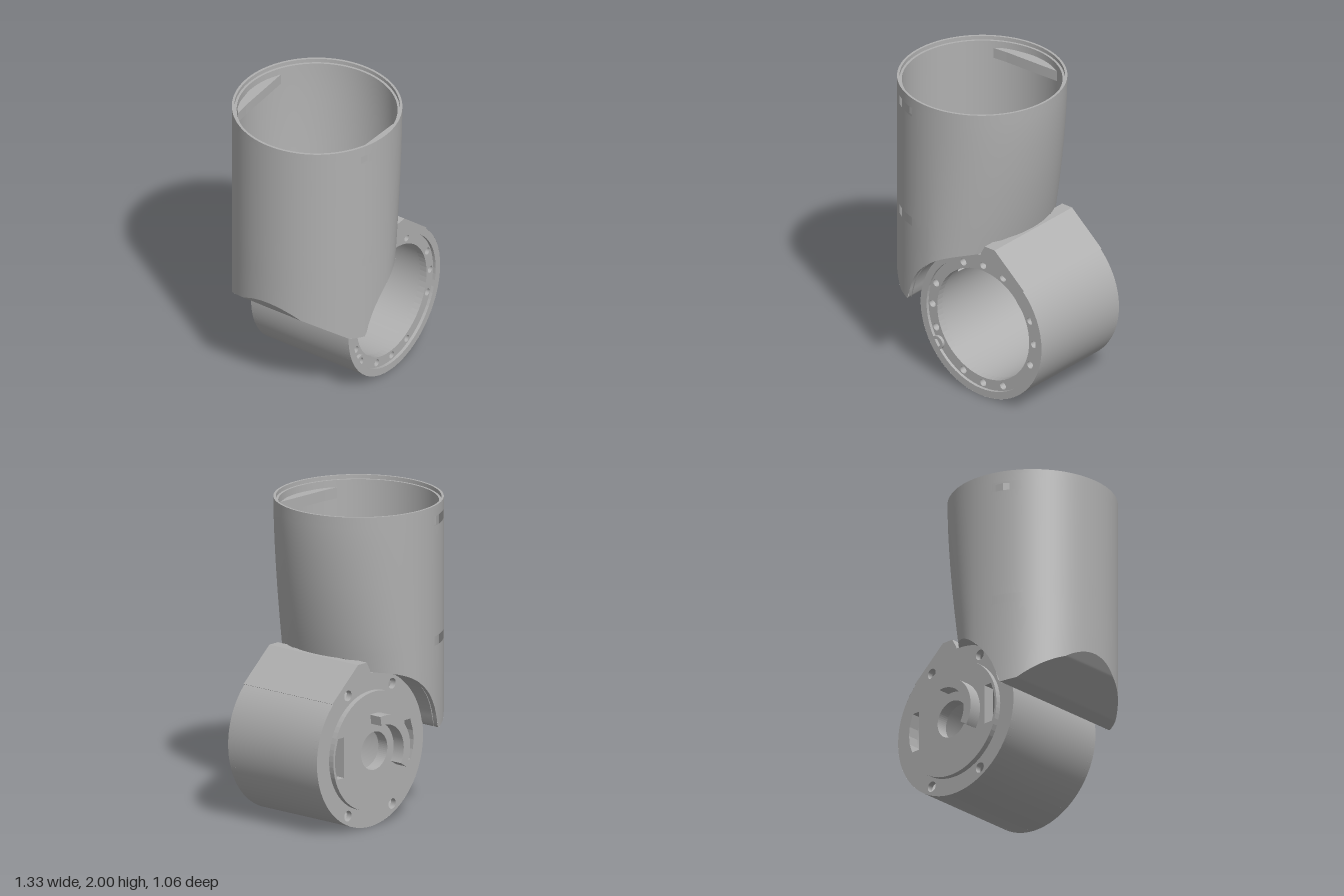
import * as THREE from 'three';
import { mergeVertices } from 'three/addons/utils/BufferGeometryUtils.js';

const TAU = Math.PI * 2;
const CX = -0.135;                        // tube axis
const DX = 0.17, DY = 0.497, DR = 0.493;  // drum axis and radius
const { sin, cos, sqrt, max } = Math;

export function createModel() {
  const grey = new THREE.MeshStandardMaterial({ color: 0xb0b0b0, side: THREE.DoubleSide });
  grey.name = 'plain grey';
  const model = new THREE.Group();
  model.name = 'jointBracket';

  const add = (name, geometry, parent = model) => {
    const mesh = new THREE.Mesh(geometry, grey);
    mesh.name = name;
    parent.add(mesh);
    return mesh;
  };

  // Smooth sheet from a rule; keep(i, j) can leave out cells
  const sheet = (nu, nv, rule, keep = () => true) => {
    const pos = [], index = [];
    for (let i = 0; i <= nu; i++) for (let j = 0; j <= nv; j++) pos.push(...rule(i / nu, j / nv, i, j));
    for (let i = 0; i < nu; i++) for (let j = 0; j < nv; j++) {
      if (!keep(i, j)) continue;
      const a = i * (nv + 1) + j, b = a + nv + 1;
      index.push(a, a + 1, b, b, a + 1, b + 1);
    }
    let g = new THREE.BufferGeometry();
    g.setAttribute('position', new THREE.Float32BufferAttribute(pos, 3));
    g.setIndex(index);
    g = mergeVertices(g, 1e-5);
    g.computeVertexNormals();
    return g;
  };

  // ---- Upper tube: round on one side, tapering towards +x ----
  const reach = (y) => 0.525 - 0.12 * Math.pow(max(0, 2 - y) / 0.93, 1.7);
  const lowProfile = [[-0.67, 0.82], [-0.62, 0.74], [-0.42, 0.58], [-0.33, 0.565]];
  const CUT = DR - 0.003;                 // the tube foot follows the drum
  const bottom = (x) => {
    if (x > DX) return DY + CUT + Math.min(0.08, (x - DX) * 1.2);
    if (x > -0.32) return max(0.565, DY + sqrt(CUT ** 2 - (x - DX) ** 2));
    for (let k = 1; k < lowProfile.length; k++) {
      const [x0, y0] = lowProfile[k - 1], [x1, y1] = lowProfile[k];
      if (x <= x1) return y0 + (y1 - y0) * (x - x0) / (x1 - x0);
    }
    return 0.565;
  };
  const tubeX = (t, y, off) => CX + cos(t) * ((cos(t) > 0 ? reach(y) : 0.53) - off);
  const tubeBottom = (t) => bottom(CX + cos(t) * (cos(t) > 0 ? 0.405 : 0.53));
  const tubePoint = (t, row, off) => {
    const y = max(tubeBottom(t), row);
    return [tubeX(t, y, off), y, sin(t) * (0.53 - off)];
  };
  const rows = [0.56, 1.0, 1.1, 1.16, 1.25, 1.4, 1.55, 1.7, 1.8, 1.87, 1.93, 2];
  const N = 120;
  // Screw pockets left out of the outer skin
  const isPocket = (i, j) => {
    const x = CX + 0.53 * cos((i + 0.5) / N * TAU);
    return x > -0.44 && x < -0.27 && (rows[j] === 1.1 || rows[j] === 1.87);
  };
  const tube = new THREE.Group();
  tube.name = 'upperTube';
  model.add(tube);
  add('tubeOuterWall', sheet(N, rows.length - 1, (u, v, i, j) => tubePoint(u * TAU, rows[j], 0),
    (i, j) => !isPocket(i, j)), tube);
  add('tubeInnerWall', sheet(N, rows.length - 1, (u, v, i, j) =>
    tubePoint(u * TAU, Math.min(rows[j], 1.975), 0.03)), tube);
  // Stepped rim at the mouth
  add('tubeRim', sheet(N, 1, (u, v) => tubePoint(u * TAU, 2, v * 0.015)), tube);
  add('rimStepWall', sheet(N, 1, (u, v) => tubePoint(u * TAU, 2 - v * 0.025, 0.015)), tube);
  add('rimStep', sheet(N, 1, (u, v) => tubePoint(u * TAU, 1.975, 0.015 + v * 0.015)), tube);

  // Cable opening, shared by the tube underside and the drum
  const opening = (x) => (x < -0.265 ? 0 : sqrt(max(0, 0.0576 - (x + 0.13) ** 2)));
  for (const s of [1, -1]) {
    add('tubeUnderside', sheet(N, 1, (u, v) => {
      const [x, y, z] = tubePoint(u * Math.PI, 0, 0);
      const h = Math.min(opening(x), z);
      return [x, y, s * (h + (z - h) * v)];
    }), tube);
    // Screw bosses along the inside wall
    const seg = new THREE.Shape([[-0.4, 0.415], [-0.3, 0.425], [-0.02, 0.435], [0.1, 0.44], [-0.02, 0.49],
      [-0.135, 0.505], [-0.33, 0.47]].map(([x, z]) => new THREE.Vector2(x, s * z)));
    const g = new THREE.ExtrudeGeometry(seg, { depth: 0.07, bevelEnabled: false });
    g.rotateX(Math.PI / 2);
    add('screwBoss', g, tube).position.y = 1.93;
  }

  // Half floor inside the tube, with slot and bar
  const floor = new THREE.Shape();
  floor.moveTo(CX, 0.505);
  floor.absarc(CX, 0, 0.505, Math.PI / 2, Math.PI * 1.5, false);
  floor.lineTo(CX, -0.24);
  floor.absarc(CX, 0, 0.24, Math.PI * 1.5, Math.PI / 2, true);
  floor.holes.push(new THREE.Path([[-0.61, -0.12], [-0.38, -0.12], [-0.38, 0.12], [-0.61, 0.12]]
    .map((p) => new THREE.Vector2(...p))));
  const floorGeo = new THREE.ExtrudeGeometry(floor, { depth: 0.03, bevelEnabled: false, curveSegments: 32 });
  floorGeo.rotateX(Math.PI / 2);
  add('tubeFloor', floorGeo, tube).position.y = 0.925;
  add('floorBar', new THREE.BoxGeometry(0.25, 0.06, 0.11), tube).position.set(-0.495, 0.915, 0);

  // ---- Drum ----
  const drum = new THREE.Group();
  drum.name = 'drum';
  drum.position.set(DX, DY, 0);
  model.add(drum);
  const gapEnd = Math.acos((-0.264 - DX) / DR);
  const drumGap = (t) => (t > 1.5 && t <= gapEnd ? opening(DX + DR * cos(t)) : 0);
  for (const s of [1, -1]) {
    for (const [name, r, end] of [['drumOuterWall', DR, 0.37], ['drumInnerWall', 0.385, 0.345]]) {
      add(name, sheet(120, 1, (u, v) => {
        const t = u * TAU, h = drumGap(t);
        return [r * cos(t), r * sin(t), s * (h + (end - h) * v)];
      }), drum);
    }
    add('openingEdge', sheet(32, 1, (u, v) => {
      const t = 1.69 + u * (gapEnd - 1.69), r = DR - v * 0.108;
      return [r * cos(t), r * sin(t), s * drumGap(t)];
    }), drum);
  }
  add('openingEnd', sheet(1, 1, (u, v) => {
    const r = DR - v * 0.108;
    return [r * cos(gapEnd), r * sin(gapEnd), (u * 2 - 1) * drumGap(gapEnd)];
  }), drum);

  const disc = (r) => new THREE.Shape().absarc(0, 0, r, 0, TAU, false);
  const hole = (x, y, r) => new THREE.Path().absarc(x, y, r, 0, TAU, true);
  const slab = (name, shape, z0, z1) => {
    const g = new THREE.ExtrudeGeometry(shape, { depth: z1 - z0, curveSegments: 32, bevelEnabled: false });
    g.translate(0, 0, z0);
    return add(name, g, drum);
  };

  // Front rim and the recessed screw ring
  const rim = disc(DR);
  rim.holes.push(hole(0, 0, 0.445));
  slab('frontRim', rim, 0.33, 0.37);
  const ring = disc(0.447);
  ring.holes.push(hole(0, 0, 0.375));
  for (const deg of [-22, 0, 22, 67, 90, 113, 158, 180, 202, 247, 270, 293]) {
    const a = deg * Math.PI / 180;
    ring.holes.push(hole(0.413 * cos(a), 0.413 * sin(a), 0.024));
  }
  slab('screwRing', ring, 0.3, 0.35);
  const boss = disc(0.045);
  boss.holes.push(hole(0, 0, 0.026));
  slab('rimBoss', boss, 0.27, 0.37).position.set(-0.36, -0.25, 0);

  // Back plate and raised disc, both with hub hole and side slots
  const slot = (s) => new THREE.Path([[0.28, -0.12], [0.34, -0.12], [0.36, -0.06], [0.366, 0], [0.36, 0.06],
    [0.335, 0.14], [0.28, 0.14]].map(([x, y]) => new THREE.Vector2(s * x, y)));
  const openings = () => [hole(0, 0, 0.122), slot(1), slot(-1)];
  const back = disc(DR);
  back.holes.push(...openings());
  for (const deg of [62, 118, 242, 298]) {
    const a = deg * Math.PI / 180;
    back.holes.push(hole(0.437 * cos(a), 0.437 * sin(a), 0.034));
  }
  slab('backPlate', back, -0.37, -0.33);
  const raised = disc(0.38);
  raised.holes.push(...openings());
  slab('raisedDisc', raised, -0.405, -0.37);

  // Curved stop ridge on the back
  const ridge = new THREE.Shape();
  ridge.absarc(0, 0, 0.24, 1.42, 3.7, false);
  ridge.absarc(0, 0, 0.18, 3.7, 1.42, true);
  slab('stopRidge', ridge, -0.49, -0.4);

  // Tangent wedge that meets the tube
  const wedge = new THREE.Shape([[-0.01, 0.48], [0.0, 0.51], [0.03, 0.565], [0.11, 0.565], [0.35, 0.36],
    [0.33, 0.35], [0.24, 0.42], [0.12, 0.47]].map((p) => new THREE.Vector2(...p)));
  slab('tangentWedge', wedge, -0.37, 0.37);

  return model;
}
